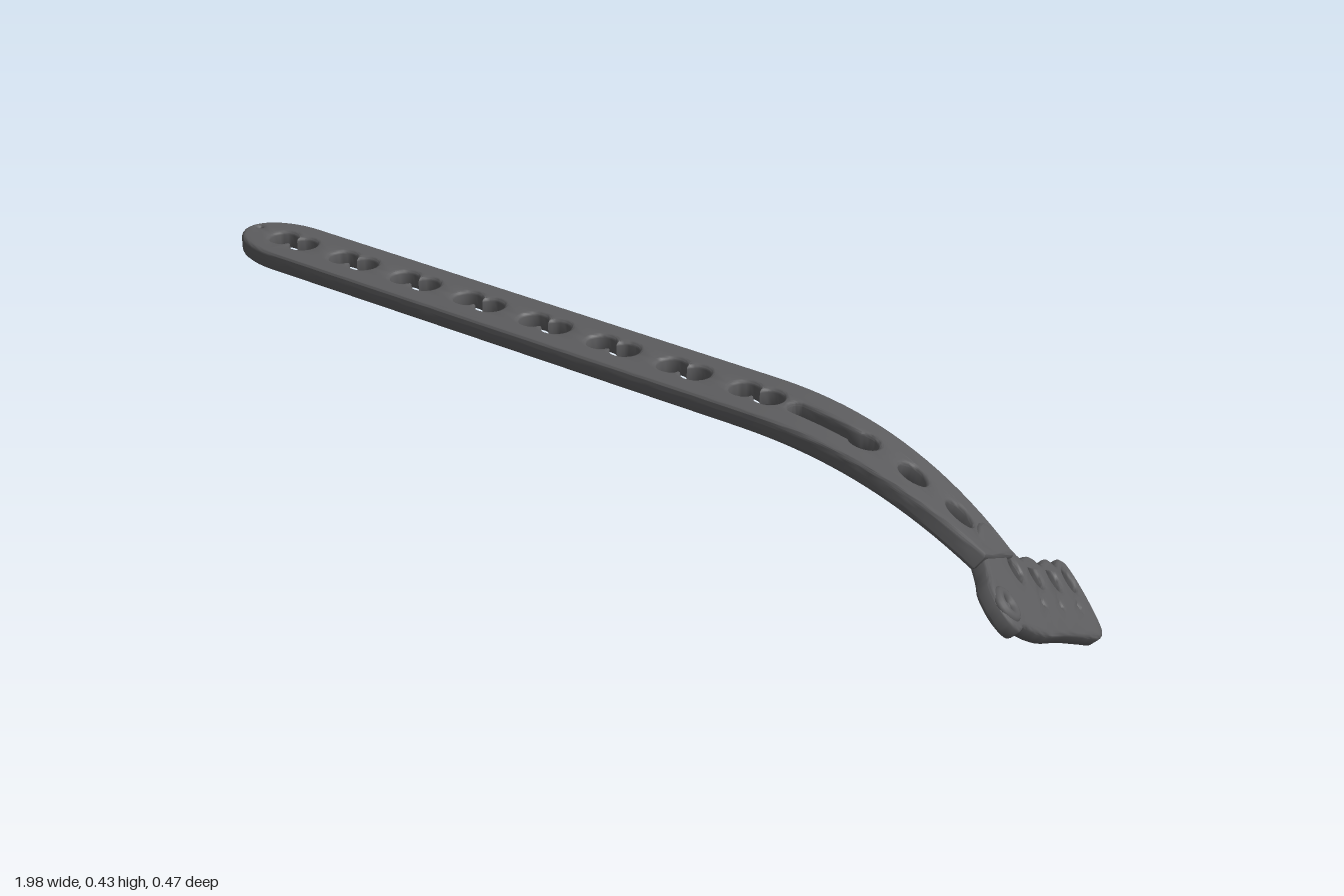
import * as THREE from 'three';
import { toCreasedNormals } from 'three/addons/utils/BufferGeometryUtils.js';

const BEVEL = 0.008;
const THICK = 0.04;

// Bisect the longest edge until every edge is short enough to bend
function tessellate(geometry, maxEdge) {
  const p = geometry.attributes.position, out = [];
  const split = (a, b, c) => {
    const ab = a.distanceTo(b), bc = b.distanceTo(c), ca = c.distanceTo(a);
    const longest = Math.max(ab, bc, ca);
    if (longest <= maxEdge) {
      for (const v of [a, b, c]) out.push(v.x, v.y, v.z);
      return;
    }
    if (longest === bc) [a, b, c] = [b, c, a];
    else if (longest === ca) [a, b, c] = [c, a, b];
    const m = a.clone().add(b).multiplyScalar(0.5);
    split(a, m, c);
    split(m, b, c);
  };
  const at = (i) => new THREE.Vector3().fromBufferAttribute(p, i);
  for (let i = 0; i < p.count; i += 3) split(at(i), at(i + 1), at(i + 2));
  const g = new THREE.BufferGeometry();
  g.setAttribute('position', new THREE.Float32BufferAttribute(out, 3));
  return g;
}

// Rounded plate from an outline, then every vertex moved by a rule
function plate(shape, thick, rule) {
  const solid = new THREE.ExtrudeGeometry(shape, {
    depth: thick - 2 * BEVEL, bevelThickness: BEVEL, bevelSize: BEVEL,
    bevelOffset: -BEVEL, bevelSegments: 3, curveSegments: 10,
  });
  solid.translate(0, 0, BEVEL - thick);
  const g = tessellate(solid, 0.045);
  const p = g.attributes.position;
  for (let i = 0; i < p.count; i++) {
    const v = rule(p.getX(i), p.getY(i), p.getZ(i));
    p.setXYZ(i, v.x, v.y, v.z);
  }
  return toCreasedNormals(g, 0.75);
}

function roundHole(x, y, rx, ry = rx, turn = 0) {
  return new THREE.Path().absellipse(x, y, rx, ry, 0, Math.PI * 2, true, turn);
}

// Two overlapping round holes
function doubleHole(x, c = 0.028, r = 0.03) {
  const a = Math.acos(c / r);
  const path = new THREE.Path();
  path.absarc(x + c, 0, r, Math.PI - a, -Math.PI + a, true);
  path.absarc(x - c, 0, r, -a, a, true);
  return path;
}

// Slot ending in a round hole
function keyholeSlot(x0, x1, half, r) {
  const a = Math.asin(half / r);
  const path = new THREE.Path();
  path.absarc(x1, 0, r, Math.PI - a, -Math.PI + a, true);
  path.absarc(x0 + half, 0, half, -Math.PI / 2, Math.PI / 2, true);
  return path;
}

// Shaft centreline: straight, then dropping, drifting forward and twisting
function shaftPoint(x) {
  const t = Math.max(0, x - 0.3);
  return new THREE.Vector3(x, 0.425 - 0.494 * Math.pow(t, 2.3), 0.047 + 0.142 * t * t);
}

function bendShaft(x, v, h) {
  const t = Math.max(0, x - 0.3) / 0.55;
  const twist = 0.48 * t * t;
  const tangent = shaftPoint(x + 0.005).sub(shaftPoint(x - 0.005)).normalize();
  const side = new THREE.Vector3(0, -Math.sin(twist), -Math.cos(twist));
  side.addScaledVector(tangent, -side.dot(tangent)).normalize();
  const normal = tangent.clone().cross(side);
  return shaftPoint(x).addScaledVector(side, v).addScaledVector(normal, h);
}

function shaftShape() {
  const w = 0.078, s = new THREE.Shape();
  s.moveTo(-0.87, -w);
  s.lineTo(0.87, -w);
  s.lineTo(0.87, w);
  s.lineTo(-0.87, w);
  s.bezierCurveTo(-0.93, w, -1, 0.05, -1, 0);
  s.bezierCurveTo(-1, -0.05, -0.93, -w, -0.87, -w);
  for (let i = 0; i < 8; i++) s.holes.push(doubleHole(-0.87 + i * 0.1686));
  s.holes.push(keyholeSlot(0.385, 0.555, 0.02, 0.029));
  s.holes.push(roundHole(0.667, 0, 0.034, 0.026, -0.5));
  s.holes.push(roundHole(0.775, 0, 0.034, 0.025, -0.6));
  s.holes.push(roundHole(-0.977, 0.012, 0.005));
  return s;
}

// Head lies on a slanted plane; its outline is drawn in (-z, y)
const HEAD_NORMAL = new THREE.Vector3(0.66, 0.64, -0.39).normalize();
function placeHead(p, y, h) {
  const z = -p;
  return new THREE.Vector3(1.07 - 0.97 * y + 0.59 * z, y, z).addScaledVector(HEAD_NORMAL, h + 0.008);
}

function headShape() {
  const outline = [
    [0.11, 0.318], [0.18, 0.298], [0.215, 0.292], [0.232, 0.265], [0.218, 0.23], [0.18, 0.215],
    [0.155, 0.195], [0.1, 0.158], [0, 0.105], [-0.1, 0.048], [-0.155, 0.018], [-0.18, 0.015],
    [-0.205, 0.035], [-0.225, 0.075], [-0.225, 0.103], [-0.203, 0.122], [-0.165, 0.13],
    [-0.145, 0.152], [-0.115, 0.163], [-0.09, 0.17], [-0.07, 0.193], [-0.04, 0.21],
    [-0.015, 0.219], [0.005, 0.248], [0.022, 0.285], [0.05, 0.31],
  ].map(([z, y]) => new THREE.Vector3(-z, y, 0));
  const curve = new THREE.CatmullRomCurve3(outline, true);
  const pts = curve.getPoints(90).slice(0, -1).map((q) => new THREE.Vector2(q.x, q.y));
  const s = new THREE.Shape(pts);
  // Row of screw holes along the upper edge
  for (const [z, y] of [[0.048, 0.232], [-0.028, 0.183], [-0.108, 0.137], [-0.184, 0.095]])
    s.holes.push(roundHole(-z, y, 0.022, 0.016, -0.55));
  // Small wire holes
  for (const [z, y] of [[0.025, 0.168], [-0.055, 0.122], [-0.14, 0.075]])
    s.holes.push(roundHole(-z, y, 0.004));
  s.holes.push(roundHole(-0.197, 0.258, 0.011));
  return s;
}

export function createModel() {
  const group = new THREE.Group();
  const metal = new THREE.MeshStandardMaterial({ color: 0x5c5c5e });
  metal.name = 'darkMetal';
  const add = (name, geometry) => {
    const mesh = new THREE.Mesh(geometry, metal);
    mesh.name = name;
    group.add(mesh);
    return mesh;
  };

  add('shaft', plate(shaftShape(), THICK, bendShaft));
  add('head', plate(headShape(), 0.036, placeHead));

  // Raised eyelet at the front corner of the head
  const ring = add('eyelet', new THREE.TorusGeometry(0.025, 0.012, 12, 28));
  ring.position.copy(placeHead(-0.197, 0.258, -0.005));
  ring.quaternion.setFromUnitVectors(new THREE.Vector3(0, 0, 1), HEAD_NORMAL);
  return group;
}
